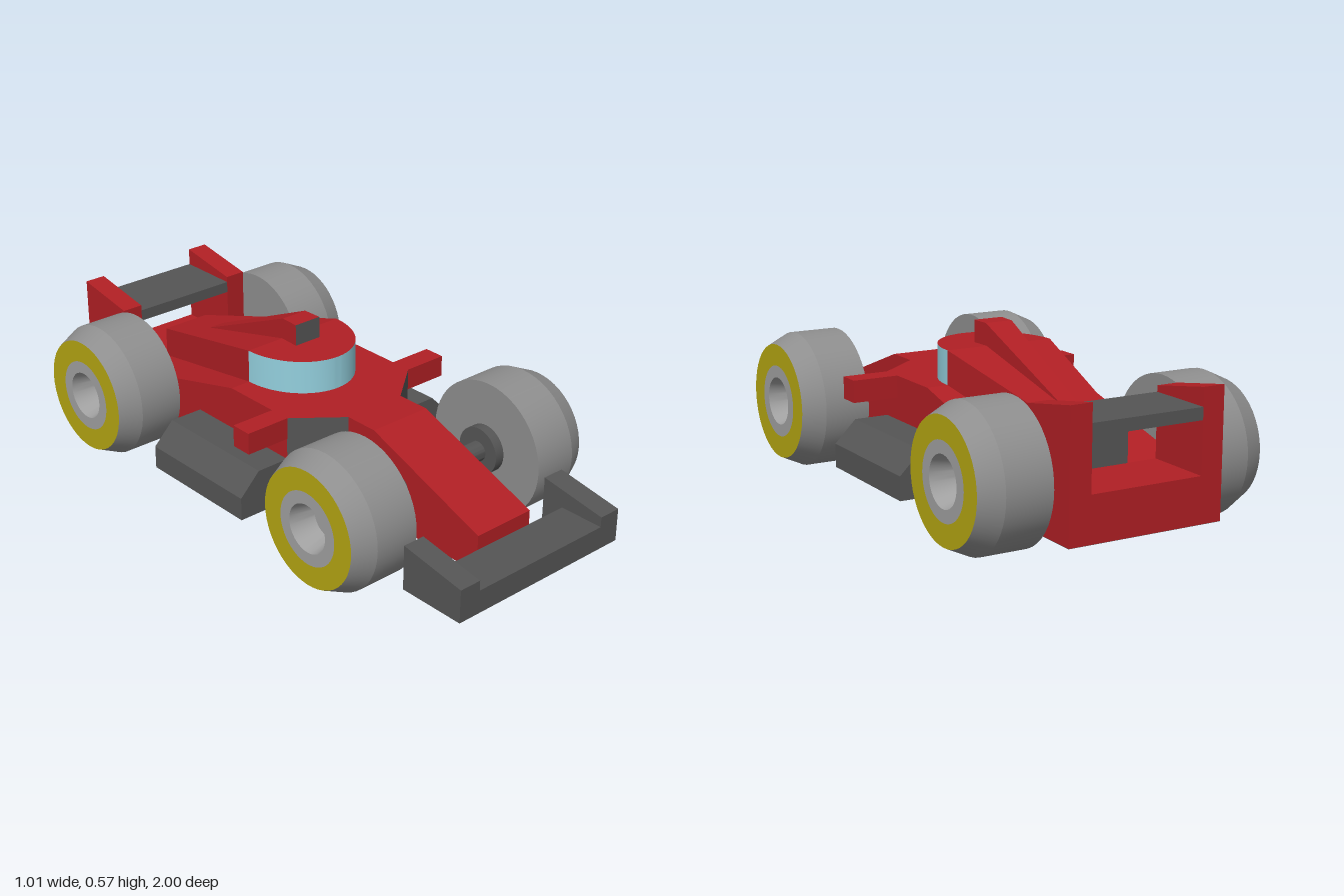
import * as THREE from 'three';
import { toCreasedNormals } from 'three/addons/utils/BufferGeometryUtils.js';

const mat = (color) => new THREE.MeshStandardMaterial({ color });
const red = mat(0xb01f24), dark = mat(0x555555), tyreGrey = mat(0x8e8e8e);
const rimGrey = mat(0xa0a0a0), yellow = mat(0xb3a512), blue = mat(0x93cfdd);
const BOTTOM = 0.08;

const toShape = (pts) => new THREE.Shape(pts.map(([a, b]) => new THREE.Vector2(a, b)));
const mirrored = (pts) => [...pts, ...pts.map(([x, z]) => [-x, z]).reverse()];
const extrude = (shape, depth) =>
  new THREE.ExtrudeGeometry(shape, { depth, bevelEnabled: false, curveSegments: 32 });

// outline in (z, y), extruded between x0 and x1
const sideProfile = (pts, x0, x1) =>
  extrude(toShape(pts), x1 - x0).rotateY(-Math.PI / 2).translate(x1, 0, 0);

// outline in (x, z), extruded between y0 and y1
const planProfile = (shape, y0, y1) =>
  extrude(shape, y1 - y0).rotateX(Math.PI / 2).translate(0, y1, 0);

const box = (x0, x1, y0, y1, z0, z1) =>
  new THREE.BoxGeometry(x1 - x0, y1 - y0, z1 - z0)
    .translate((x0 + x1) / 2, (y0 + y1) / 2, (z0 + z1) / 2);

// box whose front and rear ends differ; an end is { z, w: half width, y0, y1 }
function taperedBox(front, rear) {
  const geo = new THREE.BoxGeometry(2, 2, 2);
  const p = geo.attributes.position;
  for (let i = 0; i < p.count; i++) {
    const end = p.getZ(i) > 0 ? front : rear;
    p.setXYZ(i, p.getX(i) * end.w, p.getY(i) > 0 ? end.y1 : end.y0, end.z);
  }
  geo.computeVertexNormals();
  return geo;
}

// solid of revolution about the x axis from (radius, x) points
function turned(pts) {
  const geo = new THREE.LatheGeometry(pts.map(([r, x]) => new THREE.Vector2(r, x)), 48);
  return toCreasedNormals(geo.rotateZ(-Math.PI / 2), 0.4);
}

function makeWheel() {
  const wheel = new THREE.Group();
  const add = (name, pts, material) => {
    const m = new THREE.Mesh(turned(pts), material);
    m.name = name;
    wheel.add(m);
  };
  add('tyre', [[0, 0], [0.235, 0], [0.235, 0.16], [0.2, 0.235]], tyreGrey);
  add('tyreBand', [[0.2, 0.235], [0.125, 0.235]], yellow);
  add('rim', [[0.125, 0.235], [0.083, 0.235], [0.062, 0.15], [0, 0.15]], rimGrey);
  return wheel;
}

export function createModel() {
  const car = new THREE.Group();
  car.name = 'raceCar';
  const add = (name, geo, material) => {
    const m = new THREE.Mesh(geo, material);
    m.name = name;
    car.add(m);
  };

  // main hull with sloping rear deck, and wedge nose
  add('hull', sideProfile([[0.125, BOTTOM], [0.125, 0.385], [-0.16, 0.385],
    [-0.77, 0.23], [-1, 0.23], [-1, BOTTOM]], -0.27, 0.27), red);
  add('nose', sideProfile([[0.25, BOTTOM], [0.84, BOTTOM], [0.84, 0.21],
    [0.37, 0.385], [0.25, 0.385]], -0.115, 0.115), red);

  // shoulders: red top, dark intake faces
  add('shoulders', planProfile(toShape(mirrored([[0.27, 0.125], [0.115, 0.25]])),
    BOTTOM, 0.385), [red, dark]);

  // dark underside
  const floor = new THREE.ShapeGeometry(toShape(mirrored(
    [[0.27, -1], [0.27, 0.125], [0.115, 0.25], [0.115, 0.84]])));
  const under = new THREE.MeshStandardMaterial({ color: 0x555555, side: THREE.DoubleSide });
  add('floor', floor.rotateX(Math.PI / 2).translate(0, BOTTOM - 0.001, 0), under);

  // cockpit with curved windscreen
  const cockpit = new THREE.Shape();
  cockpit.absellipse(0, -0.16, 0.195, 0.23, 0, Math.PI);
  add('windscreen', toCreasedNormals(planProfile(cockpit, 0.385, 0.5), 0.5), [red, blue]);

  // engine cover with dark exhaust end, and air intake fin on top
  add('engineCover', taperedBox({ z: -0.16, w: 0.195, y0: 0.3, y1: 0.5 },
    { z: -0.771, w: 0.09, y0: 0.2, y1: 0.337 }), [red, red, red, red, red, dark]);
  add('airIntake', taperedBox({ z: -0.085, w: 0.052, y0: 0.49, y1: 0.575 },
    { z: -0.155, w: 0.049, y0: 0.49, y1: 0.575 }), [red, red, red, red, dark, red]);
  add('intakeFin', taperedBox({ z: -0.155, w: 0.049, y0: 0.45, y1: 0.575 },
    { z: -0.59, w: 0.03, y0: 0.34, y1: 0.385 }), red);

  // wings
  add('frontWing', box(-0.27, 0.27, BOTTOM, 0.16, 0.84, 1), dark);
  add('rearWing', box(-0.195, 0.195, 0.4, 0.44, -1, -0.77), dark);

  // front axle
  add('frontAxle', turned([[0.035, -0.25], [0.035, 0.25]]).translate(0, 0.235, 0.495), dark);

  for (const s of [1, -1]) {
    const side = s > 0 ? 'left' : 'right';
    const span = (a, b) => (s > 0 ? [a, b] : [-b, -a]);

    add(side + 'FrontEndplate', sideProfile([[0.76, BOTTOM], [1, BOTTOM],
      [1, 0.195], [0.76, 0.235]], ...span(0.27, 0.35)), dark);
    add(side + 'RearEndplate', sideProfile([[-1, 0.23], [-0.77, 0.23],
      [-0.77, 0.46], [-1, 0.5]], ...span(0.195, 0.27)), red);
    add(side + 'Vane', box(...span(0.26, 0.43), 0.31, 0.385, 0.05, 0.126), red);

    // side pod with chamfered upper edge
    const pod = [[0.26, BOTTOM], [0.465, BOTTOM], [0.465, 0.16], [0.39, 0.235], [0.26, 0.235]];
    add(side + 'SidePod', extrude(toShape(pod.map(([x, y]) => [x * s, y])), 0.465)
      .translate(0, 0, -0.34), dark);

    add(side + 'FrontHub', turned([[0, -0.018], [0.083, -0.018], [0.083, 0.018], [0, 0.018]])
      .translate(s * 0.254, 0.235, 0.495), dark);

    for (const [end, z] of [['Front', 0.497], ['Rear', -0.688]]) {
      const wheel = makeWheel();
      wheel.name = side + end + 'Wheel';
      wheel.position.set(s * 0.271, 0.235, z);
      if (s < 0) wheel.rotation.y = Math.PI;
      car.add(wheel);
    }
  }
  return car;
}
